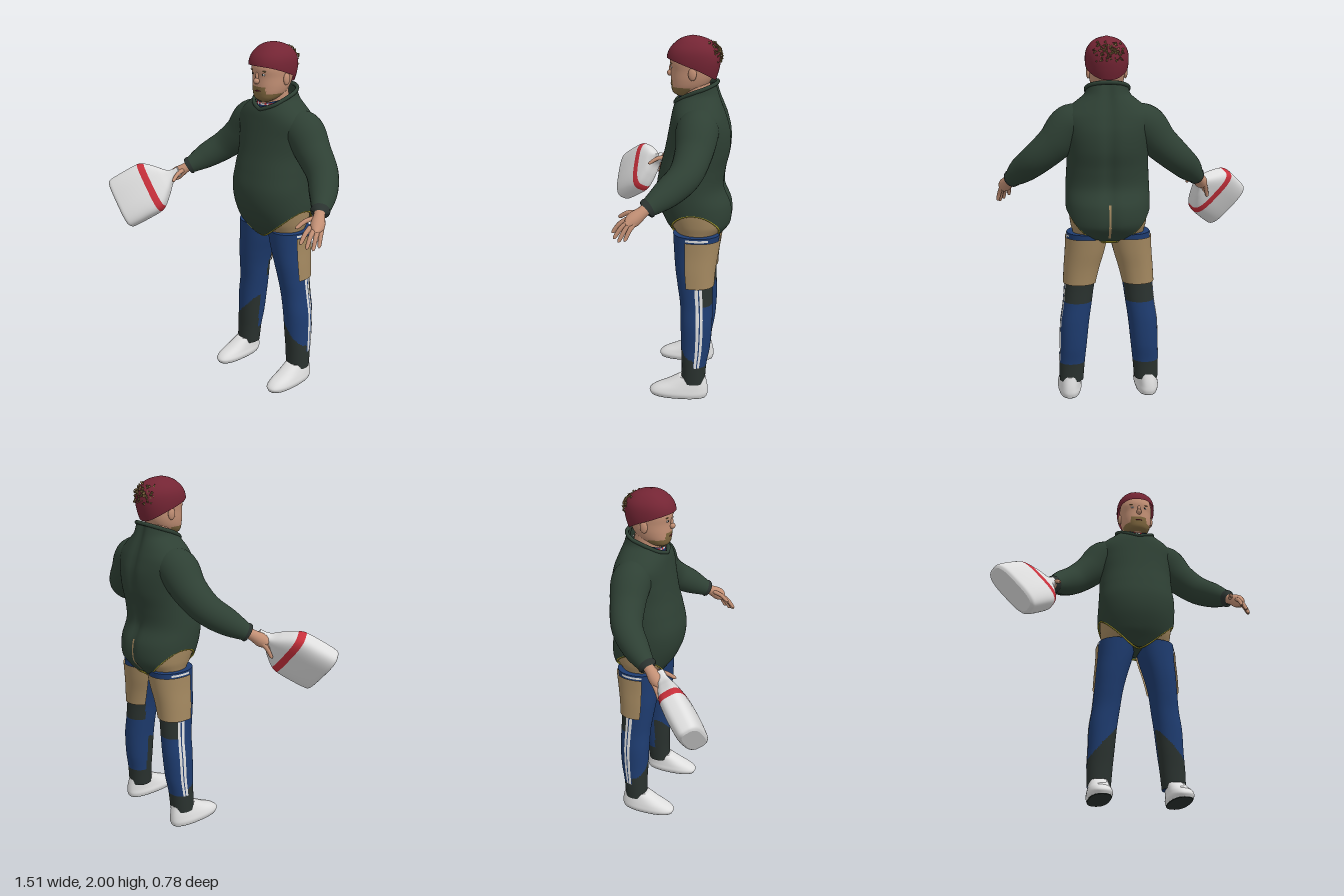
import * as THREE from 'three';

const mat = (name, color, double) => {
  const m = new THREE.MeshStandardMaterial({ color });
  m.name = name;
  if (double) m.side = THREE.DoubleSide;
  return m;
};
const V = (x, y, z) => new THREE.Vector3(x, y, z);

// Smooth lookup in a profile of rows [y, centreX, halfWidth, zFront, zBack]
function sample(rows, y) {
  const n = rows.length;
  let i = 0;
  while (i < n - 2 && y > rows[i + 1][0]) i++;
  const a = rows[i], b = rows[i + 1], p = rows[Math.max(0, i - 1)], q = rows[Math.min(n - 1, i + 2)];
  const h = b[0] - a[0], t = Math.min(1, Math.max(0, (y - a[0]) / h)), t2 = t * t, t3 = t2 * t;
  return [1, 2, 3, 4].map(k => {
    const ma = (b[k] - p[k]) / (b[0] - p[0]) * h, mb = (q[k] - a[k]) / (q[0] - a[0]) * h;
    return (2 * t3 - 3 * t2 + 1) * a[k] + (t3 - 2 * t2 + t) * ma + (3 * t2 - 2 * t3) * b[k] + (t3 - t2) * mb;
  });
}

// Point on the rounded cross-section at angle th (0 = front, +90 degrees = +x)
function ringPoint(rows, th, y, p = 2.2, grow = 0) {
  const [cx, hw, zf, zb] = sample(rows, y);
  const pw = v => Math.sign(v) * Math.abs(v) ** (2 / p);
  return V(cx + (hw + grow) * pw(Math.sin(th)), y, (zf + zb) / 2 + ((zf - zb) / 2 + grow) * pw(Math.cos(th)));
}

// Skin over a profile; bottom and top edges may vary with angle, rule picks a material per face
function loft(name, rows, mats, o = {}) {
  const { y0 = () => rows[0][0], y1 = () => rows[rows.length - 1][0], t0 = 0, t1 = Math.PI * 2,
    p = 2.2, grow = 0, nv = 24, nt = 48, s = 1, rule = () => 0, warp, ease = v => v, caps = true } = o;
  mats = [].concat(mats);
  const full = t1 - t0 > 6.28, cols = full ? nt : nt + 1, pos = [], idx = mats.map(() => []);
  const tri = (k, a, b, c) => s > 0 ? idx[k].push(a, b, c) : idx[k].push(a, c, b);
  const at = i => V(pos[3 * i], pos[3 * i + 1], pos[3 * i + 2]);
  for (let i = 0; i <= nv; i++) for (let j = 0; j < cols; j++) {
    const th = t0 + (t1 - t0) * j / nt, e = ease(i / nv);
    const q = ringPoint(rows, th, y0(th) * (1 - e) + y1(th) * e, p, grow);
    if (warp) warp(q);
    pos.push(q.x * s, q.y, q.z);
  }
  for (let i = 0; i < nv; i++) for (let j = 0; j < nt; j++) {
    const a = i * cols + j, b = i * cols + (j + 1) % cols, c = a + cols, d = b + cols;
    const m = at(a).add(at(b)).add(at(c)).add(at(d)).multiplyScalar(0.25);
    const k = rule(m.x * s, m.y, m.z);
    tri(k, a, b, d); tri(k, a, d, c);
  }
  if (full && caps) for (const row of [0, nv]) {
    const base = pos.length / 3, mid = V(0, 0, 0);
    for (let j = 0; j < nt; j++) { const q = at(row * cols + j); pos.push(q.x, q.y, q.z); mid.addScaledVector(q, 1 / nt); }
    pos.push(mid.x, mid.y, mid.z);
    for (let j = 0; j < nt; j++) {
      const a = base + j, b = base + (j + 1) % nt;
      row ? tri(0, base + nt, a, b) : tri(0, base + nt, b, a);
    }
  }
  const g = new THREE.BufferGeometry();
  g.setAttribute('position', new THREE.Float32BufferAttribute(pos, 3));
  g.setIndex(idx.flat());
  let start = 0;
  idx.forEach((l, k) => { g.addGroup(start, l.length, k); start += l.length; });
  g.computeVertexNormals();
  const mesh = new THREE.Mesh(g, mats.length > 1 ? mats : mats[0]);
  mesh.name = name;
  return mesh;
}

// Tube along points [x, y, z, radius]
function taper(name, pts, m, s = 1, seg = 24, rad = 20) {
  const curve = new THREE.CatmullRomCurve3(pts.map(p => V(p[0] * s, p[1], p[2])));
  const radii = new THREE.CatmullRomCurve3(pts.map((p, i) => V(i, p[3], 0)));
  const g = new THREE.TubeGeometry(curve, seg, 1, rad), P = g.attributes.position, N = g.attributes.normal;
  for (let i = 0; i < P.count; i++) {
    const u = curve.getUtoTmapping(Math.floor(i / (rad + 1)) / seg);
    const k = Math.max(0.0005, radii.getPoint(u).y) - 1;
    P.setXYZ(i, P.getX(i) + N.getX(i) * k, P.getY(i) + N.getY(i) * k, P.getZ(i) + N.getZ(i) * k);
  }
  const mesh = new THREE.Mesh(g, m);
  mesh.name = name;
  return mesh;
}

function ball(name, m, x, y, z, sx, sy, sz) {
  const mesh = new THREE.Mesh(new THREE.SphereGeometry(1, 20, 14), m);
  mesh.position.set(x, y, z);
  mesh.scale.set(sx, sy, sz);
  mesh.name = name;
  return mesh;
}

// Closed thin tube following an edge around the body
function hem(name, rows, edge, r, m, grow) {
  const pts = [];
  for (let i = 0; i < 48; i++) { const th = i / 48 * Math.PI * 2; pts.push(ringPoint(rows, th, edge(th), 2.2, grow)); }
  const mesh = new THREE.Mesh(new THREE.TubeGeometry(new THREE.CatmullRomCurve3(pts, true), 120, r, 8, true), m);
  mesh.name = name;
  return mesh;
}

export function createModel() {
  const green = mat('sweaterGreen', 0x2e4034, true), tan = mat('tan', 0xa2875f, true), blue = mat('trouserBlue', 0x1e3c70);
  const dark = mat('charcoal', 0x2a322f, true), white = mat('white', 0xdedede, true), red = mat('red', 0xc8303b);
  const maroon = mat('capMaroon', 0x742534, true), skin = mat('skin', 0xc39075), brown = mat('hairBrown', 0x80683f, true);
  const yellow = mat('hemYellow', 0xa89c2c);
  const root = new THREE.Group(), body = new THREE.Group();
  root.name = 'manWithJug';
  body.name = 'man';
  body.position.x = 0.15;
  root.add(body);

  // Sweater with high-cut lower edge and slanted collar
  const torso = [[0.88, 0, 0.2, -0.11, -0.29], [0.95, 0, 0.21, -0.06, -0.355], [1.0, 0, 0.222, -0.025, -0.39],
    [1.1, 0, 0.231, 0.015, -0.39], [1.2, 0, 0.23, 0.024, -0.35], [1.3, 0, 0.224, 0.005, -0.357], [1.4, 0, 0.222, -0.02, -0.378],
    [1.5, 0, 0.235, -0.04, -0.378], [1.58, 0, 0.245, -0.055, -0.358], [1.63, 0, 0.205, -0.066, -0.34],
    [1.67, 0, 0.155, -0.085, -0.325], [1.7, 0, 0.122, -0.1, -0.315], [1.77, 0, 0.108, -0.12, -0.295]];
  const cut = th => {
    const t = Math.abs(Math.sin(th)), k = (1 + Math.cos(th)) / 2;
    return k * (0.9 + 0.18 * t ** 1.4) + (1 - k) * (0.91 + 0.17 * t ** 2.5);
  };
  const collar = th => 1.645 + 0.115 * Math.abs(Math.sin(th / 2));
  const spine = q => { if (q.z < -0.2) q.z += 0.016 * Math.exp(-((q.x / 0.03) ** 2)); };
  body.add(loft('sweater', torso, green, { y0: cut, y1: collar, nv: 64, nt: 72, warp: spine, caps: false }));
  body.add(hem('collarRim', torso, collar, 0.011, green, 0));
  body.add(hem('sweaterHem', torso, th => cut(th) - 0.003, 0.005, yellow, -0.006));
  body.add(loft('hips', torso, tan, { y0: () => 0.93, y1: () => 1.12, grow: -0.014 }));
  body.add(ball('gusset', green, 0, 0.945, -0.2, 0.06, 0.05, 0.12));

  // Neck, checked shirt collar and head
  body.add(taper('neck', [[0, 1.58, -0.2, 0.08], [0, 1.68, -0.19, 0.078], [0, 1.76, -0.18, 0.075]], skin));
  const shirt = [[1.6, 0, 0.1, -0.085, -0.28], [1.72, 0, 0.092, -0.095, -0.275]];
  body.add(loft('shirtCollar', shirt, [blue, red, white], { y1: th => 1.675 + 0.045 * Math.abs(Math.sin(th / 2)), caps: false,
    nv: 12, rule: (x, y) => Math.round(x * 60) % 2 ? (Math.round(y * 70) % 2 ? 1 : 0) : (Math.round(y * 70) % 3 ? 0 : 2) }));
  const head = [[1.685, 0, 0.03, -0.085, -0.13], [1.7, 0, 0.058, -0.062, -0.17], [1.73, 0, 0.08, -0.052, -0.23],
    [1.77, 0, 0.092, -0.05, -0.265], [1.82, 0, 0.097, -0.05, -0.285], [1.87, 0, 0.1, -0.045, -0.29], [1.93, 0, 0.09, -0.06, -0.28]];
  body.add(loft('head', head, [skin, brown], { nv: 60, nt: 72, rule: (x, y, z) =>
    (z > -0.16 && y < 1.735) || (Math.abs(x) < 0.05 && z > -0.1 && y < 1.772) ? 1 : 0 }));
  body.add(ball('nose', skin, 0, 1.802, -0.045, 0.016, 0.017, 0.018));
  body.add(ball('noseBridge', skin, 0, 1.825, -0.05, 0.01, 0.026, 0.012));
  body.add(ball('mouth', maroon, 0, 1.748, -0.052, 0.022, 0.004, 0.005));
  for (const s of [-1, 1]) {
    body.add(ball('eye', white, s * 0.037, 1.838, -0.058, 0.013, 0.006, 0.006));
    body.add(ball('pupil', dark, s * 0.037, 1.838, -0.053, 0.005, 0.005, 0.003));
    body.add(ball('eyebrow', brown, s * 0.039, 1.857, -0.057, 0.02, 0.004, 0.006));
    body.add(ball('ear', skin, s * 0.1, 1.81, -0.172, 0.012, 0.034, 0.022));
  }

  // Knitted cap with loose tufts at the back
  const cap = [[1.76, 0, 0.09, -0.06, -0.285], [1.82, 0, 0.11, -0.038, -0.303], [1.88, 0, 0.117, -0.027, -0.312],
    [1.93, 0, 0.109, -0.042, -0.3], [1.97, 0, 0.08, -0.08, -0.262], [1.99, 0, 0.046, -0.117, -0.217], [2.0, 0, 0.004, -0.16, -0.168]];
  const brim = th => 1.885 - 0.115 * ((1 - Math.cos(th)) / 2) ** 1.4;
  body.add(loft('cap', cap, maroon, { y0: brim, nv: 32, ease: v => Math.sin(v * Math.PI / 2), caps: false }));
  let seed = 7;
  const rnd = () => (seed = seed * 16807 % 2147483647) / 2147483647;
  for (let i = 0; i < 90; i++) {
    const th = Math.PI + (rnd() + rnd() - 1) * 0.95, tuft = new THREE.Mesh(new THREE.TetrahedronGeometry(0.005 + rnd() * 0.006), brown);
    tuft.position.copy(ringPoint(cap, th, 1.86 + (rnd() + rnd()) * 0.058, 2.2, 0.002 + rnd() * 0.008));
    tuft.rotation.set(rnd() * 6, rnd() * 6, rnd() * 6);
    tuft.name = 'capTuft';
    body.add(tuft);
  }

  const leg = [[0.09, 0.213, 0.067, -0.14, -0.272], [0.2, 0.208, 0.072, -0.14, -0.28], [0.3, 0.2, 0.075, -0.135, -0.297],
    [0.44, 0.19, 0.08, -0.13, -0.306], [0.55, 0.174, 0.08, -0.125, -0.304], [0.65, 0.162, 0.083, -0.11, -0.302],
    [0.75, 0.147, 0.092, -0.095, -0.308], [0.85, 0.128, 0.103, -0.085, -0.322], [0.95, 0.115, 0.113, -0.078, -0.335]];
  const shoe = [[0.004, 0.222, 0.062, 0.035, -0.285], [0.025, 0.222, 0.068, 0.042, -0.291], [0.05, 0.222, 0.064, 0.015, -0.29],
    [0.08, 0.22, 0.058, -0.05, -0.285], [0.12, 0.216, 0.05, -0.125, -0.275]];
  const sole = [[0, 0.222, 0.06, 0.033, -0.283], [0.005, 0.222, 0.062, 0.035, -0.285]];
  const fingers = [[[0.585, 1.165, 0.05], [0.617, 1.07, 0.105]], [[0.58, 1.155, 0.075], [0.606, 1.06, 0.138]],
    [[0.567, 1.155, 0.092], [0.585, 1.07, 0.165]], [[0.55, 1.165, 0.1], [0.553, 1.09, 0.178]], [[0.53, 1.195, 0.05], [0.497, 1.155, 0.155]]];
  for (const s of [-1, 1]) {
    // Trouser legs: blue, charcoal shin panel and back-of-knee patch
    body.add(loft('trouserLeg', leg, [blue, dark], { s, nv: 110, nt: 72, rule: (x, y, z) => {
      const panel = z > -0.21 ? 0.24 + (0.28 - x) * 1.15 : 0.2;
      return y < panel || (z < -0.24 && y > 0.56 && y < 0.67) ? 1 : 0;
    } }));
    body.add(loft('thighPad', leg, tan, { s, y0: () => 0.665, y1: () => 0.925, t0: 1.2, t1: 4.3, grow: 0.009 }));
    for (const t of [1.6, 1.84])
      body.add(loft('sideStripe', leg, white, { s, y0: () => 0.2, y1: () => 0.66, t0: t, t1: t + 0.17, grow: 0.003, nt: 4 }));
    body.add(loft('hipStripe', leg, white, { s, y0: () => 0.93, y1: () => 0.942, t0: 1.2, t1: 2.1, grow: 0.004, nv: 2, nt: 12 }));
    // Shoes
    body.add(loft('shoe', shoe, white, { s, p: 2.4 }));
    body.add(loft('sole', sole, dark, { s, p: 2.4, nv: 1 }));
    // Sleeves, cuffs and hands
    body.add(taper('sleeve', [[0.13, 1.55, -0.21, 0.095], [0.2, 1.53, -0.21, 0.112], [0.285, 1.435, -0.2, 0.098],
      [0.385, 1.345, -0.165, 0.086], [0.465, 1.275, -0.085, 0.074], [0.525, 1.215, 0, 0.046]], green, s, 40, 28));
    body.add(taper('cuff', [[0.515, 1.224, -0.014, 0.03], [0.52, 1.22, -0.006, 0.05], [0.53, 1.212, 0.008, 0.047], [0.533, 1.209, 0.012, 0.02]], dark, s));
    body.add(taper('palm', [[0.515, 1.225, -0.01, 0.028], [0.54, 1.2, 0.025, 0.03], [0.567, 1.17, 0.065, 0.038],
      [0.58, 1.15, 0.09, 0.026], [0.585, 1.142, 0.1, 0]], skin, s));
    for (const [a, b] of fingers) {
      const mix = (t, r, lift) => [a[0] + (b[0] - a[0]) * t, a[1] + (b[1] - a[1]) * t + lift, a[2] + (b[2] - a[2]) * t, r];
      body.add(taper('finger', [mix(0, 0.013, 0), mix(0.5, 0.012, 0.01), mix(0.92, 0.009, 0), mix(1, 0, 0)], skin, s, 14, 10));
    }
  }

  // Flat jug held by the neck, with a red shoulder band
  const jug = [[0, 0, 0.142, -0.05], [0.008, 0, 0.156, -0.062], [0.03, 0, 0.161, -0.068], [0.12, 0, 0.163, -0.072], [0.215, 0, 0.16, -0.069],
    [0.255, 0, 0.14, -0.063], [0.31, 0, 0.088, -0.05], [0.35, 0, 0.045, -0.036], [0.38, 0, 0.029, -0.028], [0.42, 0, 0.026, -0.026]]
    .map(([y, cx, w, d]) => [y, cx, w, -d, d]);
  const jugMesh = loft('jug', jug, [white, red], { p: 3.2, nv: 84, nt: 64, rule: (x, y) => y > 0.21 && y < 0.25 ? 1 : 0 });
  const up = V(0.575, 0.5, -0.65).normalize(), out = V(0.7, -0.7, 0).cross(up).normalize();
  jugMesh.quaternion.setFromRotationMatrix(new THREE.Matrix4().makeBasis(up.clone().cross(out), up, out));
  jugMesh.position.set(-0.625, 0.985, 0.345);
  root.add(jugMesh);
  return root;
}
